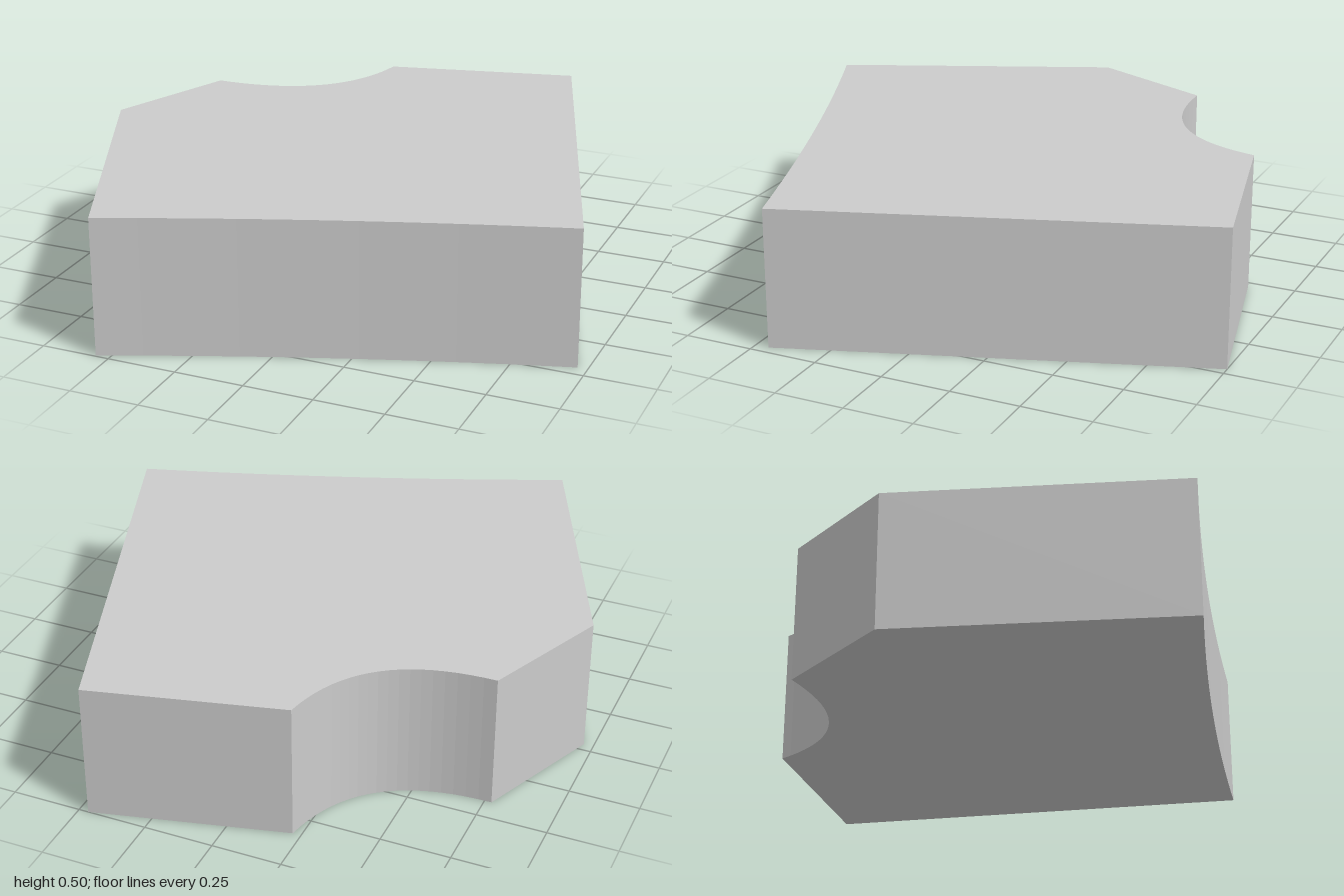
import * as THREE from 'three';

export function createModel() {
  const group = new THREE.Group();
  group.name = 'notchedBlock';

  // Plan outline, drawn with y = -z
  const outline = new THREE.Shape();
  outline.moveTo(-0.965, -0.035);
  outline.lineTo(-0.55, -0.995);
  outline.quadraticCurveTo(0.19, -0.68, 0.965, -0.45); // slightly hollow front
  outline.lineTo(0.465, 1);
  outline.lineTo(-0.22, 0.835);
  outline.quadraticCurveTo(-0.29, 0.41, -0.775, 0.415); // scooped back corner
  outline.closePath();

  // Extrude upwards and lay flat on the ground
  const geometry = new THREE.ExtrudeGeometry(outline, {
    depth: 0.5,
    bevelEnabled: false,
    curveSegments: 20,
  });
  geometry.rotateX(-Math.PI / 2);

  const slab = new THREE.Mesh(geometry, new THREE.MeshStandardMaterial({ color: 0xcccccc }));
  slab.name = 'slab';
  group.add(slab);
  return group;
}
